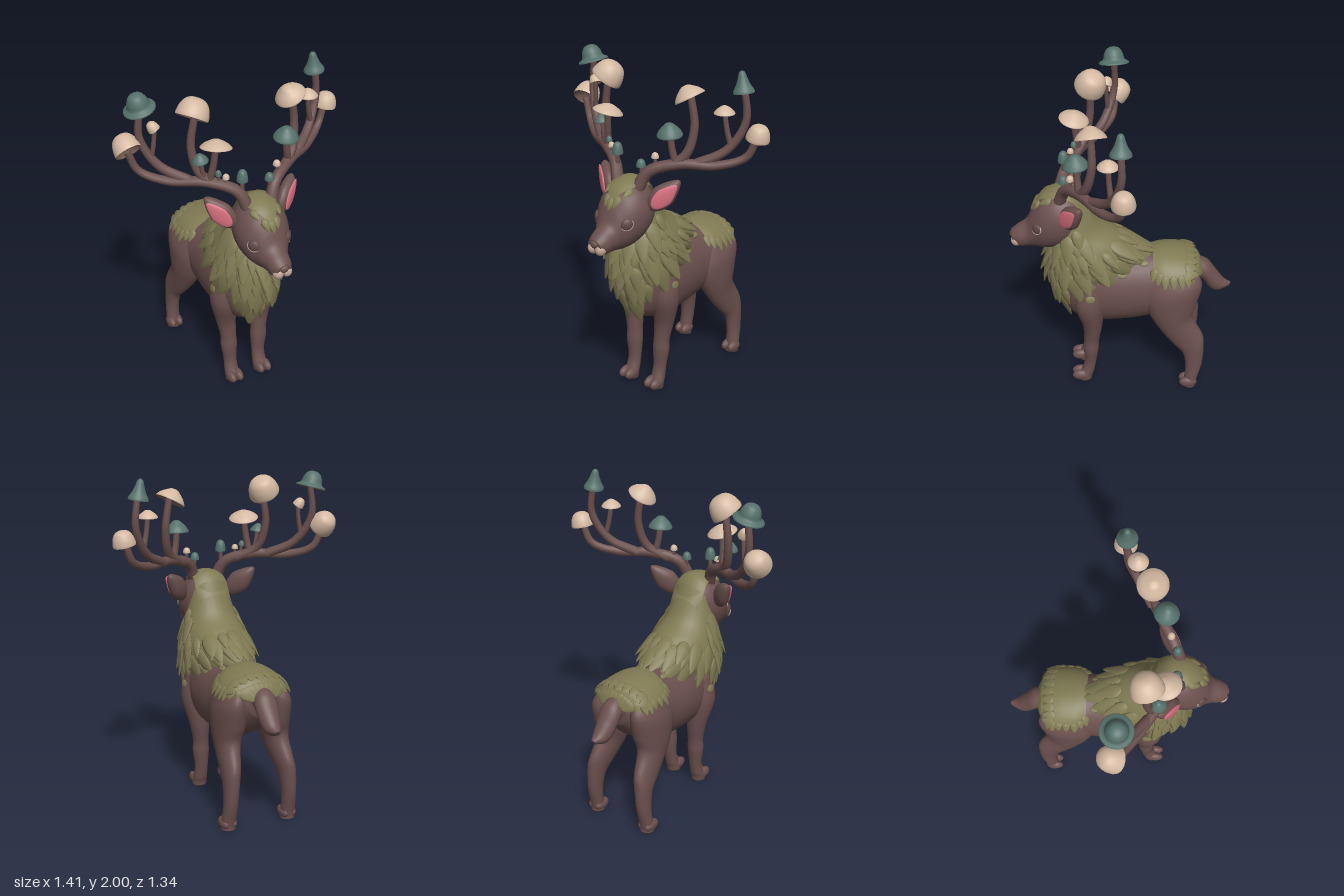
import * as THREE from 'three';
import { mergeVertices, mergeGeometries } from 'three/addons/utils/BufferGeometryUtils.js';

const V = (x, y, z) => new THREE.Vector3(x, y, z);
const material = (name, color, double) => {
  const m = new THREE.MeshStandardMaterial({ color });
  m.name = name;
  if (double) m.side = THREE.DoubleSide;
  return m;
};
// Smooth interpolation through rows of numbers, t in 0..1
function sample(rows, t) {
  const n = rows.length - 1, f = Math.min(Math.max(t, 0), 1) * n;
  const i = Math.min(Math.floor(f), n - 1), u = f - i;
  const [a, b, c, d] = [-1, 0, 1, 2].map(k => rows[Math.min(Math.max(i + k, 0), n)]);
  return b.map((p, k) => 0.5 * (2 * p + (c[k] - a[k]) * u + (2 * a[k] - 5 * p + 4 * c[k] - d[k]) * u * u
    + (3 * p - a[k] - 3 * c[k] + d[k]) * u * u * u));
}
// Section row: [z1, y1, z2, y2, halfWidth, centreX, arc]; angle 0 lies at point 1
const full = rows => rows.map(r => [...r, ...[0, Math.PI].slice(r.length - 5)]);
function pointAt(rows, t, angle) {
  const [z1, y1, z2, y2, w, x] = sample(rows, t), c = Math.cos(angle);
  return V(x + w * Math.sin(angle), (y1 + y2 + c * (y1 - y2)) / 2, (z1 + z2 + c * (z1 - z2)) / 2);
}
function loft(rows, closed = true, steps = 40, seg = 32) {
  const pos = [], index = [], first = rows[0], last = rows[rows.length - 1];
  const extra = closed ? 1 : 0, count = steps + 1 + 2 * extra;
  for (let i = 0; i < count; i++) {
    const t = Math.min(Math.max((i - extra) / steps, 0), 1), s = sample(rows, t);
    const pole = closed && (i === 0 || i === count - 1);
    for (let j = 0; j <= seg; j++) {
      const p = pole ? V(s[5], (s[1] + s[3]) / 2, (s[0] + s[2]) / 2) : pointAt(rows, t, (j / seg * 2 - 1) * s[6]);
      pos.push(p.x, p.y, p.z);
    }
  }
  const mid = rows[Math.floor(rows.length / 2)];
  const dz = last[0] + last[2] - first[0] - first[2], dy = last[1] + last[3] - first[1] - first[3];
  const flip = -dz * (mid[1] - mid[3]) + dy * (mid[0] - mid[2]) < 0;
  for (let i = 0; i < count - 1; i++) for (let j = 0; j < seg; j++) {
    const a = i * (seg + 1) + j, b = a + 1, c = a + seg + 1, d = c + 1;
    index.push(...(flip ? [a, c, b, b, c, d] : [a, b, c, b, d, c]));
  }
  let g = new THREE.BufferGeometry();
  g.setAttribute('position', new THREE.Float32BufferAttribute(pos, 3));
  g.setIndex(index);
  g = mergeVertices(g, 1e-5);
  g.computeVertexNormals();
  return g;
}
// Leaf-shaped tuft, base near the origin, tip toward +y
function tuftShape() {
  const g = new THREE.SphereGeometry(1, 8, 6), p = g.attributes.position;
  for (let i = 0; i < p.count; i++) {
    const y = p.getY(i), k = 1 - 0.45 * Math.max(y, 0);
    p.setXYZ(i, p.getX(i) * k, y > 0 ? y * 1.6 : y, p.getZ(i) * k);
  }
  g.translate(0, 0.3, 0);
  g.computeVertexNormals();
  return g;
}
// Lay a shape on a lofted surface, its y axis running along the loft
function place(shape, rows, t, angle, w, len, thick, lift = 0) {
  const e = 0.01, t0 = Math.min(t, 0.985), p = pointAt(rows, t, angle);
  const dir = pointAt(rows, t0 + e, angle).sub(pointAt(rows, t0 - e, angle)).normalize();
  const n = pointAt(rows, t, angle + e).sub(pointAt(rows, t, angle - e)).cross(dir).normalize();
  const s = sample(rows, t), centre = V(s[5], (s[1] + s[3]) / 2, (s[0] + s[2]) / 2);
  if (n.dot(p.clone().sub(centre)) < 0) n.negate();
  dir.addScaledVector(n, lift).normalize();
  const side = dir.clone().cross(n).normalize();
  n.crossVectors(side, dir);
  const m = new THREE.Matrix4().makeBasis(side, dir, n).scale(V(w, len, thick)).setPosition(p);
  return shape.clone().applyMatrix4(m);
}
function branch(points, r0, r1) {
  const curve = new THREE.CatmullRomCurve3(points.map(p => V(...p))), n = 28, seg = 10;
  const g = new THREE.TubeGeometry(curve, n, 1, seg), p = g.attributes.position, v = V(0, 0, 0);
  for (let i = 0; i < p.count; i++) {
    const u = Math.floor(i / (seg + 1)) / n, c = curve.getPointAt(u);
    v.fromBufferAttribute(p, i).sub(c).multiplyScalar(r0 + (r1 - r0) * u).add(c);
    p.setXYZ(i, v.x, v.y, v.z);
  }
  return g;
}

export function createModel() {
  const root = new THREE.Group();
  let seed = 7;
  const rand = () => ((seed = (seed * 16807) % 2147483647) / 2147483647);
  const brown = material('brown hide', 0x6a504d), moss = material('moss', 0x7f7952, true);
  const cream = material('cream cap', 0xd3b9a1), green = material('green cap', 0x56716a);
  const pink = material('inner ear', 0xd9707f), gill = material('cap underside', 0x80655b);
  const pale = material('muzzle', 0xc4a898), dark = material('eye', 0x5f4844);
  const add = (name, g, mat, parent = root) => {
    const m = new THREE.Mesh(g, mat);
    m.name = name;
    parent.add(m);
    return m;
  };
  const ball = (name, mat, p, s) => {
    const m = add(name, new THREE.SphereGeometry(1, 20, 14), mat);
    m.position.set(...p);
    m.scale.set(...s);
  };

  // Body, head and tail
  const torso = full([[.38, .8, .36, .62, .08], [.3, .96, .32, .5, .16], [.15, .96, .2, .44, .195], [0, .93, .05, .435, .2],
    [-.15, .92, -.12, .45, .19], [-.3, .925, -.25, .5, .195], [-.42, .89, -.38, .58, .165], [-.47, .82, -.46, .68, .08]]);
  add('torso', loft(torso), brown);
  const head = full([[.22, 1.29, .24, 1.12, .08], [.29, 1.355, .3, 1.03, .14], [.38, 1.365, .38, .99, .16], [.465, 1.325, .46, .975, .142],
    [.525, 1.245, .52, .98, .102], [.565, 1.16, .565, .98, .076], [.625, 1.115, .61, .98, .066], [.662, 1.085, .65, 1.01, .045]]);
  add('head', loft(head), brown);
  add('tail', loft(full([[-.43, .87, -.44, .72, .06], [-.52, .83, -.49, .7, .067], [-.58, .75, -.53, .64, .06],
    [-.63, .685, -.58, .61, .045], [-.67, .66, -.65, .63, .015]])), brown);

  // Legs, ears and face, mirrored
  const foreleg = [[.27, .8, .12, .78, .06, .13], [.295, .62, .12, .62, .08, .145], [.25, .44, .13, .44, .063, .12],
    [.245, .32, .15, .32, .05, .107], [.25, .25, .155, .24, .052, .105], [.245, .14, .17, .14, .042, .1],
    [.265, .07, .185, .06, .044, .1], [.29, .04, .195, .03, .047, .1], [.29, 0, .2, 0, .045, .1]];
  const hindleg = [[-.17, .82, -.43, .84, .05, .125], [-.13, .68, -.475, .76, .085, .143], [-.155, .55, -.45, .62, .09, .143],
    [-.23, .42, -.425, .52, .07, .155], [-.31, .32, -.485, .4, .055, .17], [-.37, .25, -.5, .33, .048, .18],
    [-.39, .15, -.495, .18, .042, .188], [-.385, .06, -.47, .07, .044, .192], [-.375, .03, -.46, .02, .047, .193], [-.375, 0, -.46, 0, .045, .193]];
  const earShape = new THREE.SphereGeometry(1, 20, 16), ep = earShape.attributes.position;
  for (let i = 0; i < ep.count; i++) ep.setX(i, ep.getX(i) * (1 - 0.45 * Math.max(ep.getY(i), 0)));
  earShape.computeVertexNormals();
  const eyeball = new THREE.SphereGeometry(1, 20, 14);
  for (const s of [1, -1]) {
    for (const [name, rows, z] of [['foreleg', foreleg, .268], ['hindleg', hindleg, -.408]]) {
      add(name, loft(full(rows.map(r => [...r.slice(0, 5), s * r[5]]))), brown);
      for (const d of [-.024, .024]) ball('toe', brown, [s * rows[rows.length - 1][5] + d, .036, z], [.028, .036, .056]);
    }
    const ear = new THREE.Group();
    ear.name = 'ear';
    ear.position.set(s * .212, 1.297, .3);
    ear.rotation.set(0, s * .65, -s * .8, 'YZX');
    add('outerEar', earShape, brown, ear).scale.set(.068, .122, .042);
    const inner = add('innerEar', earShape, pink, ear);
    inner.scale.set(.05, .096, .012);
    inner.position.set(0, .002, .034);
    root.add(ear);
    add('eye', place(eyeball, head, .525, s * 1.35, .032, .034, .014), dark);
    const rim = new THREE.TorusGeometry(1, .09, 6, 24, Math.PI).rotateZ(s * Math.PI / 2);
    add('eyeRim', place(rim, head, .525, s * 1.35, .034, .036, .06), pale);
    ball('muzzlePatch', pale, [s * .027, 1.027, .632], [.032, .036, .034]);
  }
  ball('nose', brown, [0, 1.06, .648], [.03, .026, .024]);

  // Moss mane with layered tufts
  const tuft = tuftShape(), tufts = [];
  const mane = full([[.4, 1.05, .23, 1.335, .13], [.43, .98, .14, 1.15, .165], [.452, .85, .02, 1.06, .198],
    [.42, .68, -.07, .995, .2], [.345, .52, -.14, .945, .12]]);
  add('mane', loft(mane, false), moss);
  for (let row = 0; row < 8; row++) for (let j = 0; j < 15; j++) {
    const t = .18 + row * .098, a = (j + (row % 2) / 2 + (rand() - .5) * .7) / 15 * Math.PI * 2;
    const size = .7 + rand() * .6, back = Math.cos(a) < -.4 && row < 4;
    if (back) continue;
    tufts.push(place(tuft, mane, t, a, .042 * size, .068 * size, .016, .1 + rand() * .1));
  }
  // Moss on the crown and on the rump, ragged along the hem
  add('crownMoss', loft([[.19, 1.25, .22, 1.1, .1, 0, 1.3], [.285, 1.367, .3, 1.02, .15, 0, .75], [.38, 1.377, .38, .98, .168, 0, .6],
    [.467, 1.336, .46, .97, .15, 0, .36], [.53, 1.25, .52, .97, .11, 0, .02]], false, 30, 20), moss);
  for (const [t, a] of [[.45, -.5], [.45, .5], [.6, -.3], [.6, .3], [.64, 0]])
    tufts.push(place(tuft, head, t * .82, a, .026, .03, .015));
  const rump = [[-.18, .93, -.17, .6, .18, 0, 1], [-.25, .938, -.22, .58, .21, 0, 1.2], [-.36, .93, -.31, .6, .212, 0, 1.2],
    [-.43, .902, -.39, .65, .19, 0, 1.15], [-.472, .84, -.455, .69, .115, 0, .8]];
  add('rumpMoss', loft(rump, false), moss);
  const hem = tuft.clone().rotateZ(Math.PI / 2);
  for (const s of [1, -1]) for (let i = 0; i < 8; i++) {
    const t = .04 + i * .115, shape = s > 0 ? tuft.clone().rotateZ(-Math.PI / 2) : hem;
    tufts.push(place(shape, rump, t, s * sample(rump, t)[6] * .96, .02 + rand() * .018, .026, .008));
  }
  for (let j = -4; j <= 4; j++) {
    tufts.push(place(tuft, rump, .9, j / 4 * .9, .034, .028 + rand() * .014, .009));
    tufts.push(place(tuft, rump, .42 + rand() * .25, j / 4 * 1.05, .036, .03, .008, .04));
  }
  const spot = new THREE.SphereGeometry(1, 10, 8);
  for (const a of [-1, 1]) {
    tufts.push(place(spot, torso, .43, a * .88, .022, .032, .008), place(spot, torso, .55, a * .55, .02, .03, .008));
    tufts.push(place(spot, full(foreleg.map(r => [...r.slice(0, 5), a * r[5]])), .07, a * 1.6, .032, .024, .006));
  }
  add('mossTufts', mergeGeometries(tufts), moss);

  // Antlers
  for (const s of [1, -1]) {
    const limb = (pts, r0, r1) => add('antler', branch(pts.map(([x, y, z]) => [s * x, y, z]), r0, r1), brown);
    limb([[.07, 1.31, .37], [.12, 1.42, .33], [.27, 1.475, .24], [.45, 1.475, .13], [.58, 1.53, .04], [.63, 1.65, .02]], .037, .02);
    limb([[.34, 1.475, .19], [.48, 1.56, .09], [.56, 1.72, .03], [.545, 1.92, .03]], .03, .018);
    limb([[.18, 1.445, .29], [.29, 1.52, .22], [.325, 1.67, .18], [.3, 1.86, .18]], .03, .02);
  }

  // Mushrooms: cap profiles as [radius, height] from rim to top
  const shapes = {
    dome: [[1, 0], [1.01, .15], [.92, .48], [.7, .8], [.38, .96], [0, 1]],
    flat: [[1, 0], [1, .12], [.8, .45], [.5, .75], [.25, .95], [0, 1]],
    peak: [[1, 0], [.95, .12], [.68, .35], [.45, .65], [.3, .9], [.12, .99], [0, 1]],
    hat: [[1, 0], [.98, .1], [.72, .25], [.64, .55], [.45, .86], [.2, .98], [0, 1]],
  };
  const mushroom = (x, y, z, r, h, kind, mat, tiltX, tiltZ, from, stem) => {
    const g = new THREE.Group();
    g.name = 'mushroom';
    g.position.set(x, y, z);
    g.rotation.set(tiltX, 0, tiltZ);
    const line = shapes[kind].map(([a, b]) => new THREE.Vector2(a * r, b * h));
    const curve = new THREE.SplineCurve(line).getPoints(18).map(p => p.setX(Math.max(p.x, 0)));
    add('cap', new THREE.LatheGeometry(curve, 28), mat, g);
    const under = [[0, .4], [.45, .36], [.85, .12], [1, 0]].map(([a, b]) => new THREE.Vector2(a * r, b * h));
    add('gills', new THREE.LatheGeometry(under, 28), gill, g);
    root.add(g);
    if (from) {
      const mid = [(from[0] * .4 + x * .6), (from[1] + y) / 2, (from[2] * .4 + z * .6)];
      add('stem', branch([from, mid, [x, y + h * .35, z]], stem * 1.2, stem), brown);
    }
  };
  mushroom(.632, 1.63, .02, .066, .09, 'dome', cream, 0, -.2);
  mushroom(.542, 1.88, .03, .06, .12, 'peak', green, 0, .15);
  mushroom(.464, 1.765, .095, .058, .046, 'flat', cream, 0, 0, [.5, 1.585, .08], .014);
  mushroom(.295, 1.84, .18, .088, .075, 'flat', cream, .1, .5);
  mushroom(.222, 1.635, .265, .072, .075, 'flat', green, .1, 0, [.25, 1.48, .25], .018);
  mushroom(.146, 1.5, .3, .022, .032, 'dome', cream, 0, 0, [.15, 1.42, .3], .009);
  mushroom(.077, 1.445, .34, .027, .045, 'dome', green, 0, 0, [.09, 1.36, .34], .011);
  mushroom(-.625, 1.65, .03, .078, .11, 'dome', cream, -.85, .15);
  mushroom(-.55, 1.89, .03, .09, .1, 'hat', green, .05, .28);
  mushroom(-.49, 1.775, .08, .034, .055, 'dome', cream, -.3, .5, [-.51, 1.61, .07], .012);
  mushroom(-.318, 1.85, .18, .092, .115, 'dome', cream, -.35, -.5);
  mushroom(-.222, 1.69, .275, .088, .05, 'flat', cream, -.2, -.15, [-.25, 1.48, .25], .018);
  mushroom(-.3, 1.61, .24, .046, .05, 'flat', green, 0, .15, [-.27, 1.48, .24], .012);
  mushroom(-.21, 1.52, .28, .018, .032, 'dome', green, 0, .1, [-.2, 1.44, .28], .008);
  mushroom(-.175, 1.5, .3, .02, .028, 'dome', cream, 0, 0, [-.17, 1.42, .3], .008);
  mushroom(-.095, 1.485, .34, .032, .07, 'dome', green, 0, 0, [-.1, 1.38, .34], .012);
  return root;
}
